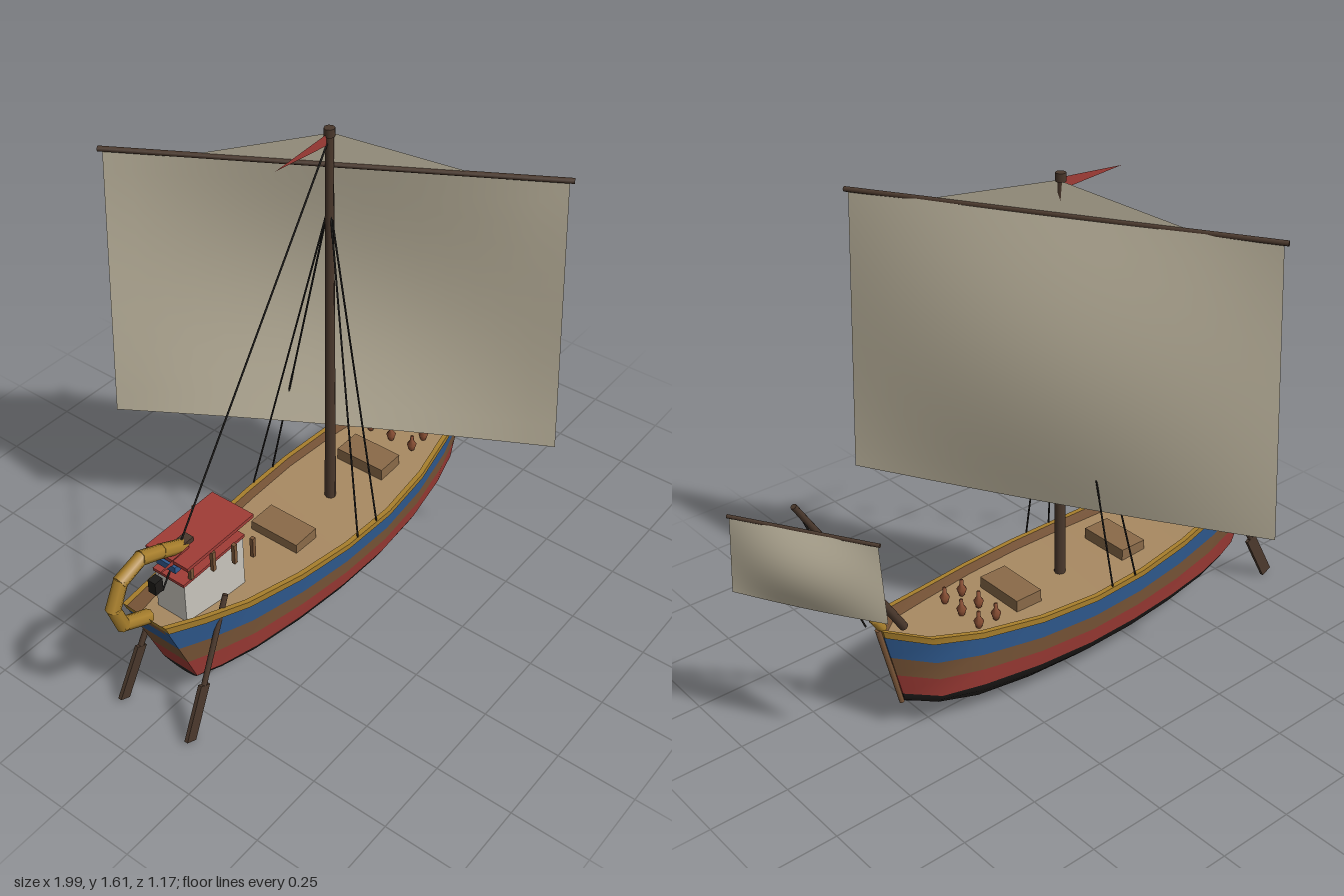
import * as THREE from 'three';
import { toCreasedNormals } from 'three/addons/utils/BufferGeometryUtils.js';

const V = (x, y, z) => new THREE.Vector3(x, y, z);
const mat = (color) => new THREE.MeshStandardMaterial({ color, side: THREE.DoubleSide });
const M = {
  black: mat(0x24211f), red: mat(0xa03c36), brown: mat(0x7a5638), blue: mat(0x2f5a8f),
  gold: mat(0xa87f2c), deck: mat(0xa98a62), wood: mat(0x4a382c), rope: mat(0x1c1a18),
  sail: mat(0xc2b9a2), wall: mat(0xc8c5bc), hatch: mat(0x8a6a48), clay: mat(0x8a4f34),
};

// Hull stations: x at sheer, half beam, sheer height, keel height, x at keel
const STATIONS = [
  [-0.87, 0.075, 0.45, 0.11, -0.735],
  [-0.75, 0.108, 0.415, 0.075, -0.65],
  [-0.6, 0.145, 0.38, 0.05, -0.53],
  [-0.4, 0.178, 0.352, 0.032, -0.36],
  [-0.2, 0.199, 0.336, 0.022, -0.18],
  [0, 0.205, 0.331, 0.02, 0],
  [0.2, 0.188, 0.336, 0.022, 0.19],
  [0.4, 0.15, 0.352, 0.035, 0.37],
  [0.55, 0.107, 0.378, 0.075, 0.5],
  [0.655, 0.012, 0.4, 0.11, 0.585],
];
const RISE = 0.145; // top of the dark bottom
const side = (t, w, off = 0) => ([, b, s]) => [b * w + off, RISE + (s - RISE) * t];
const low = (t, w) => ([, b, , k]) => [b * w, k + (RISE - k) * t];
const deckY = (s) => 0.302 + (s - 0.331) * 0.75;
const deckRow = (w) => ([, b, s]) => [Math.max(b - 0.018, 0.002) * w, deckY(s)];

// Closed loop round the hull at one row: up the left side, back down the right
function loop(row) {
  const half = STATIONS.map((st) => {
    const [w, y] = row(st);
    const [xt, , s, k, xb] = st;
    return V(xb + (xt - xb) * (y - k) / (s - k), y, w);
  });
  return [...half, ...half.map((p) => V(p.x, p.y, -p.z)).reverse()];
}

function strip(rows) {
  const loops = rows.map(loop), n = loops[0].length, index = [];
  for (let r = 0; r < rows.length - 1; r++) {
    for (let i = 0; i < n; i++) {
      const a = r * n + i, b = r * n + (i + 1) % n;
      index.push(a, b, b + n, a, b + n, a + n);
    }
  }
  const g = new THREE.BufferGeometry().setFromPoints(loops.flat());
  g.setIndex(index);
  return toCreasedNormals(g, 0.6);
}

// Square of cloth hung from a yard, bellied forward
const ALONG = V(0.5, 0, 0.866), FORWARD = V(0.866, 0, -0.5);
function sailGeometry(c, top, bottom, height, belly) {
  const g = new THREE.PlaneGeometry(1, 1, 16, 12), p = g.attributes.position;
  for (let i = 0; i < p.count; i++) {
    const u = p.getX(i), v = 0.5 - p.getY(i);
    const swell = belly * Math.cos(Math.PI * u) * (0.2 + 0.8 * Math.sin(Math.PI * v));
    const q = c.clone().addScaledVector(ALONG, 2 * u * (top + (bottom - top) * v))
      .addScaledVector(FORWARD, swell);
    p.setXYZ(i, q.x, c.y - v * height, q.z);
  }
  g.computeVertexNormals();
  return g;
}

function triangle(a, b, c) {
  const g = new THREE.BufferGeometry().setFromPoints([a, b, c]);
  g.computeVertexNormals();
  return g;
}

export function createModel() {
  const ship = new THREE.Group();
  ship.name = 'sailingShip';
  const add = (name, geo, material, x = 0, y = 0, z = 0) => {
    const m = new THREE.Mesh(geo, material);
    m.name = name;
    m.position.set(x, y, z);
    ship.add(m);
    return m;
  };
  const box = (name, material, x0, x1, y0, y1, w, z = 0) =>
    add(name, new THREE.BoxGeometry(x1 - x0, y1 - y0, 2 * w), material, (x0 + x1) / 2, (y0 + y1) / 2, z);
  const pole = (name, a, b, r0, r1 = r0, material = M.wood, sides = 8) => {
    const m = add(name, new THREE.CylinderGeometry(r1, r0, a.distanceTo(b), sides), material);
    m.position.copy(a).lerp(b, 0.5);
    m.quaternion.setFromUnitVectors(V(0, 1, 0), b.clone().sub(a).normalize());
    return m;
  };
  const rope = (name, a, b) => pole(name, a, b, 0.003, 0.003, M.rope, 5);

  // Hull bands, rail and deck
  add('hullBottom', strip([low(0, 0), low(0.12, 0.3), low(0.35, 0.58), low(0.7, 0.8), side(0, 0.9)]), M.black);
  add('redBand', strip([side(0, 0.9), side(0.3, 0.95)]), M.red);
  add('brownBand', strip([side(0.3, 0.95), side(0.58, 0.98)]), M.brown);
  add('blueBand', strip([side(0.58, 0.98), side(0.9, 1)]), M.blue);
  add('rail', strip([side(0.9, 1), side(0.9, 1, 0.006), side(1, 1, 0.006), side(1, 1, -0.01)]), M.gold);
  add('bulwark', strip([side(1, 1, -0.01), deckRow(1)]), M.brown);
  add('deck', strip([deckRow(1), deckRow(0)]), M.deck);
  pole('stem', V(0.592, 0.11, 0), V(0.66, 0.4, 0), 0.008, 0.01, M.brown);

  // Curved stern neck and bow post
  const neck = [[-0.86, 0.44], [-0.95, 0.485], [-0.977, 0.565], [-0.94, 0.64], [-0.86, 0.665], [-0.78, 0.63], [-0.7, 0.59]];
  const bowPost = [[0.645, 0.4], [0.672, 0.44], [0.668, 0.495]];
  const segments = (name, pts, r) => pts.slice(1).forEach((p, i) => {
    const a = V(...pts[i], 0), b = V(...p, 0), d = b.clone().sub(a).normalize().multiplyScalar(r * 0.3);
    pole(name, a.sub(d), b.add(d), r, r * 0.95, M.gold);
  });
  segments('sternNeck', neck, 0.022);
  segments('bowPost', bowPost, 0.014);
  box('neckHead', M.wood, -0.71, -0.67, 0.57, 0.61, 0.016);

  // Stern cabin, canopy and lantern
  box('cabin', M.wall, -0.76, -0.51, 0.32, 0.51, 0.055);
  box('cabinTop', M.red, -0.765, -0.505, 0.51, 0.52, 0.058);
  box('canopy', M.red, -0.765, -0.485, 0.583, 0.595, 0.078);
  box('canopyValance', M.blue, -0.77, -0.68, 0.555, 0.578, 0.035);
  add('sternFlag', triangle(V(-0.7, 0.605, 0.025), V(-0.83, 0.59, 0.025), V(-0.7, 0.57, 0.025)), M.red);
  box('lantern', M.rope, -0.83, -0.8, 0.505, 0.55, 0.014);
  for (const s of [1, -1]) {
    [[-0.53, 0.52, 0.11], [-0.59, 0.53, 0.093], [-0.66, 0.545, 0.075], [-0.73, 0.555, 0.055]]
      .forEach(([x, y, z]) => box('canopyPost', M.brown, x - 0.006, x + 0.006, y - 0.035, y + 0.035, 0.006, s * z));

    // Steering oars
    const top = V(-0.655, 0.43, s * 0.11), mid = V(-0.78, 0.175, s * 0.124), tip = V(-0.862, 0.012, s * 0.132);
    pole('oarShaft', top, mid, 0.009);
    const blade = add('oarBlade', new THREE.BoxGeometry(0.04, mid.distanceTo(tip), 0.012), M.wood);
    blade.position.copy(mid).lerp(tip, 0.5);
    blade.quaternion.setFromUnitVectors(V(0, 1, 0), mid.clone().sub(tip).normalize());

    // Shrouds
    for (const x of [-0.16, -0.065]) rope('shroud', V(-0.03, 1.38, 0), V(x, 0.335, s * 0.206));
  }

  // Deck cargo
  box('hatch', M.hatch, -0.31, -0.215, 0.29, 0.345, 0.088);
  box('hatch', M.hatch, 0.122, 0.218, 0.29, 0.345, 0.088);
  const jar = new THREE.LatheGeometry(
    [[0, 0], [0.009, 0.008], [0.016, 0.03], [0.006, 0.045], [0.006, 0.062], [0, 0.062]].map((p) => new THREE.Vector2(...p)), 8);
  for (const x of [0.295, 0.36]) for (const z of [-0.083, 0, 0.083]) add('jar', jar, M.clay, x, 0.308, z);

  // Main mast, yard, sails and pennant
  pole('mast', V(-0.03, 0.28, 0), V(-0.03, 1.59, 0), 0.018, 0.012);
  pole('mastCap', V(-0.03, 1.585, 0), V(-0.03, 1.61, 0), 0.016);
  const yard = V(-0.015, 1.49, -0.002), foreYard = V(0.877, 0.822, 0);
  const yardPole = (name, c, half, r) =>
    pole(name, c.clone().addScaledVector(ALONG, -half), c.clone().addScaledVector(ALONG, half), r);
  yardPole('mainYard', yard, 0.653, 0.008);
  add('mainSail', sailGeometry(yard, 0.64, 0.677, 0.925, 0.075), M.sail);
  const corner = (t) => yard.clone().addScaledVector(ALONG, t);
  add('topSail', triangle(V(-0.02, 1.59, 0), corner(-0.395), corner(0.395)), M.sail);
  add('pennant', triangle(V(-0.04, 1.595, 0), V(-0.26, 1.58, 0), V(-0.04, 1.56, 0)), M.red);
  rope('backstay', V(-0.03, 1.58, 0), V(-0.79, 0.485, 0));

  // Raked foremast with its small sail
  pole('foreMast', V(0.57, 0.37, 0), V(0.897, 0.905, 0), 0.014, 0.009);
  yardPole('foreYard', foreYard, 0.226, 0.006);
  add('foreSail', sailGeometry(foreYard, 0.22, 0.236, 0.247, 0.035), M.sail);
  rope('forestay', V(0.89, 0.895, 0), V(0.7, 0.43, 0));
  return ship;
}
